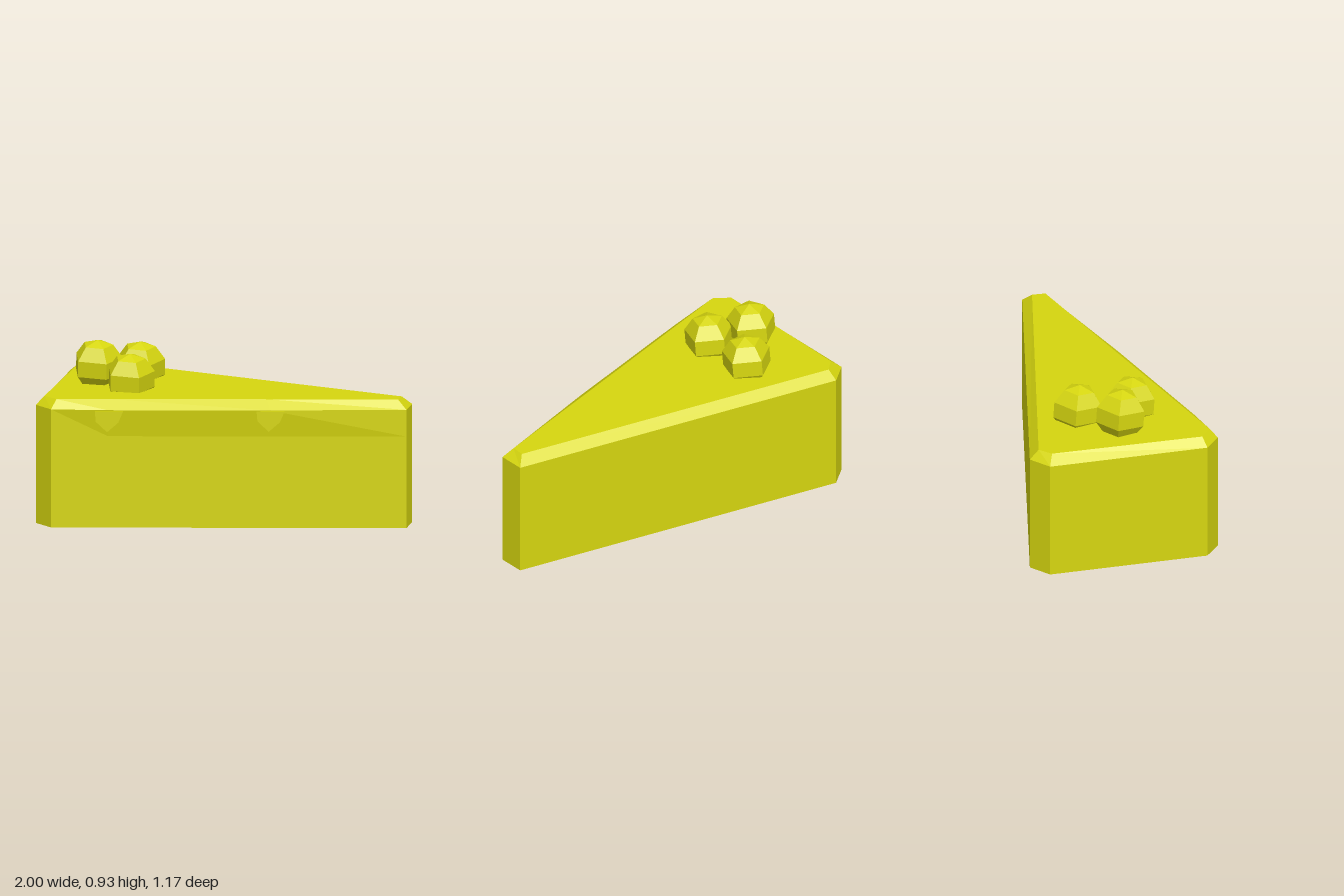
import * as THREE from 'three';

// Walls and bevel between stacked rings, closed by a fan at both ends
function loftRings(rings) {
  const pos = [];
  const tri = (a, b, c) => pos.push(...a, ...b, ...c);
  const n = rings[0].length;
  for (let k = 0; k < rings.length - 1; k++) {
    const lo = rings[k], hi = rings[k + 1];
    for (let i = 0; i < n; i++) {
      const j = (i + 1) % n;
      tri(lo[i], hi[j], lo[j]);
      tri(lo[i], hi[i], hi[j]);
    }
  }
  const bottom = rings[0], top = rings[rings.length - 1];
  for (let i = 1; i < n - 1; i++) {
    tri(bottom[0], bottom[i], bottom[i + 1]);
    tri(top[0], top[i + 1], top[i]);
  }
  const g = new THREE.BufferGeometry();
  g.setAttribute('position', new THREE.Float32BufferAttribute(pos, 3));
  g.computeVertexNormals();
  return g;
}

export function createModel() {
  const model = new THREE.Group();
  model.name = 'cakeSlice';
  const yellow = new THREE.MeshStandardMaterial({ color: 0xd6d60f });
  yellow.name = 'yellow';

  // Wedge outlines as [x, z]: outer wall and the inset top behind the bevel
  const outer = [[-1, -0.275], [-0.925, -0.39], [0.95, -0.59], [1, -0.455], [-0.58, 0.585], [-0.705, 0.54]];
  const inner = [[-0.94, -0.27], [-0.9, -0.345], [0.92, -0.535], [0.94, -0.465], [-0.575, 0.54], [-0.67, 0.51]];
  const dripSpots = [0.385, 0.84];
  const angle = Math.atan2(1.04, 1.58);

  // Two extra points on the long cut side let the frosting bulge outwards
  function ring(outline, y, bulge) {
    const [a, b] = [outline[3], outline[4]];
    const extra = dripSpots.map(t => [
      a[0] + (b[0] - a[0]) * t + Math.sin(angle) * bulge,
      a[1] + (b[1] - a[1]) * t + Math.cos(angle) * bulge]);
    return [...outline.slice(0, 4), ...extra, ...outline.slice(4)]
      .map(([x, z]) => [x, y + 0.006 * (1 - x) * (y < 0.1 ? 1 : 0.9), z]);
  }
  const slice = new THREE.Mesh(loftRings([
    ring(outer, 0, 0), ring(outer, 0.5, 0), ring(outer, 0.646, 0.018), ring(inner, 0.694, 0)]), yellow);
  slice.name = 'slice';
  model.add(slice);

  // Frosting drips on the long cut side
  const dripShape = new THREE.Shape([
    [-0.07, 0.645], [-0.065, 0.59], [-0.005, 0.533], [0.055, 0.585], [0.08, 0.645],
  ].map(p => new THREE.Vector2(...p)));
  const dripGeometry = new THREE.ExtrudeGeometry(dripShape, { depth: 0.02, bevelEnabled: false });
  for (const t of dripSpots) {
    const drip = new THREE.Mesh(dripGeometry, yellow);
    drip.name = 'frostingDrip';
    drip.position.set(1 - 1.58 * t, 0, -0.455 + 1.04 * t);
    drip.rotation.y = angle;
    model.add(drip);
  }

  // Faceted berries, leaning slightly
  const berryGeometry = new THREE.SphereGeometry(0.14, 5, 5).toNonIndexed();
  berryGeometry.computeVertexNormals();
  for (const p of [[-0.617, 0.793, 0.07], [-0.39, 0.752, 0.105], [-0.5, 0.752, -0.168]]) {
    const berry = new THREE.Mesh(berryGeometry, yellow);
    berry.name = 'berry';
    berry.position.set(...p);
    berry.rotation.set(0.06, 0, -0.06);
    model.add(berry);
  }
  return model;
}
